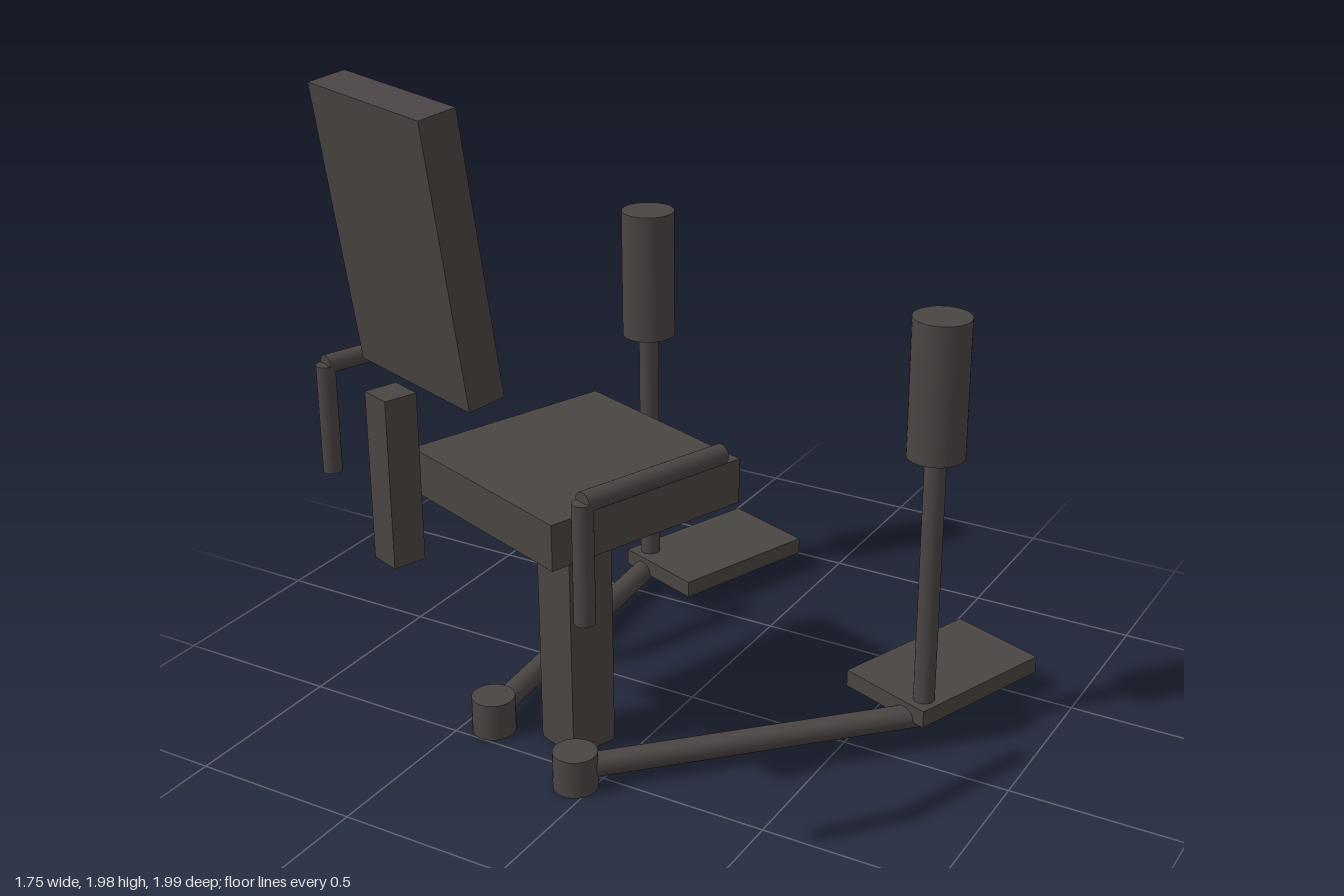
import * as THREE from 'three';

export function createModel() {
  const model = new THREE.Group();
  model.name = 'exerciseChair';
  const charcoal = new THREE.MeshStandardMaterial({ color: 0x4a4543 });
  charcoal.name = 'charcoal';

  // The whole chair is turned about the vertical axis
  const chair = new THREE.Group();
  chair.name = 'chair';
  chair.position.set(-0.17, 0, 0.345);
  chair.rotation.y = THREE.MathUtils.degToRad(-20);
  model.add(chair);

  function add(name, geometry, x, y, z) {
    const mesh = new THREE.Mesh(geometry, charcoal);
    mesh.name = name;
    mesh.position.set(x, y, z);
    chair.add(mesh);
    return mesh;
  }
  const box = (name, w, h, d, x, y, z) =>
    add(name, new THREE.BoxGeometry(w, h, d), x, y, z);

  // Round bar between two points
  function bar(name, radius, from, to) {
    const a = new THREE.Vector3(...from);
    const b = new THREE.Vector3(...to);
    const dir = b.clone().sub(a);
    const mid = a.clone().add(b).multiplyScalar(0.5);
    const mesh = add(name, new THREE.CylinderGeometry(radius, radius, dir.length(), 32), mid.x, mid.y, mid.z);
    mesh.quaternion.setFromUnitVectors(new THREE.Vector3(0, 1, 0), dir.normalize());
    return mesh;
  }

  // Seat, pedestal and backrest
  box('pedestal', 0.147, 0.76, 0.147, 0, 0.38, 0.01);
  box('seat', 0.632, 0.13, 0.632, 0, 0.825, 0);
  box('backPost', 0.092, 0.46, 0.092, 0, 0.99, 0.566);
  const backrest = box('backrest', 0.482, 0.75, 0.105, 0, 1.6, 0.495);
  backrest.rotation.x = THREE.MathUtils.degToRad(8);

  // Mirrored armrests and swinging leg levers
  for (const [side, s] of [['left', 1], ['right', -1]]) {
    bar(side + 'ArmrestPost', 0.027, [s * 0.58, 0.76, 0.415], [s * 0.58, 1.08, 0.415]);
    bar(side + 'ArmrestGrip', 0.027, [s * 0.58, 1.08, 0.415], [s * 0.58, 1.08, -0.02]);

    bar(side + 'Pivot', 0.063, [s * 0.193, 0, 0.168], [s * 0.193, 0.112, 0.168]);
    bar(side + 'LeverArm', 0.035, [s * 0.193, 0.06, 0.168], [s * 0.618, 0.06, -0.763]);
    bar(side + 'PadPole', 0.031, [s * 0.618, 0.06, -0.763], [s * 0.618, 0.88, -0.763]);
    bar(side + 'LegPad', 0.082, [s * 0.618, 0.872, -0.763], [s * 0.618, 1.277, -0.763]);
    box(side + 'FootPlate', 0.308, 0.052, 0.484, s * 0.515, 0.085, -0.95);
  }
  return model;
}
